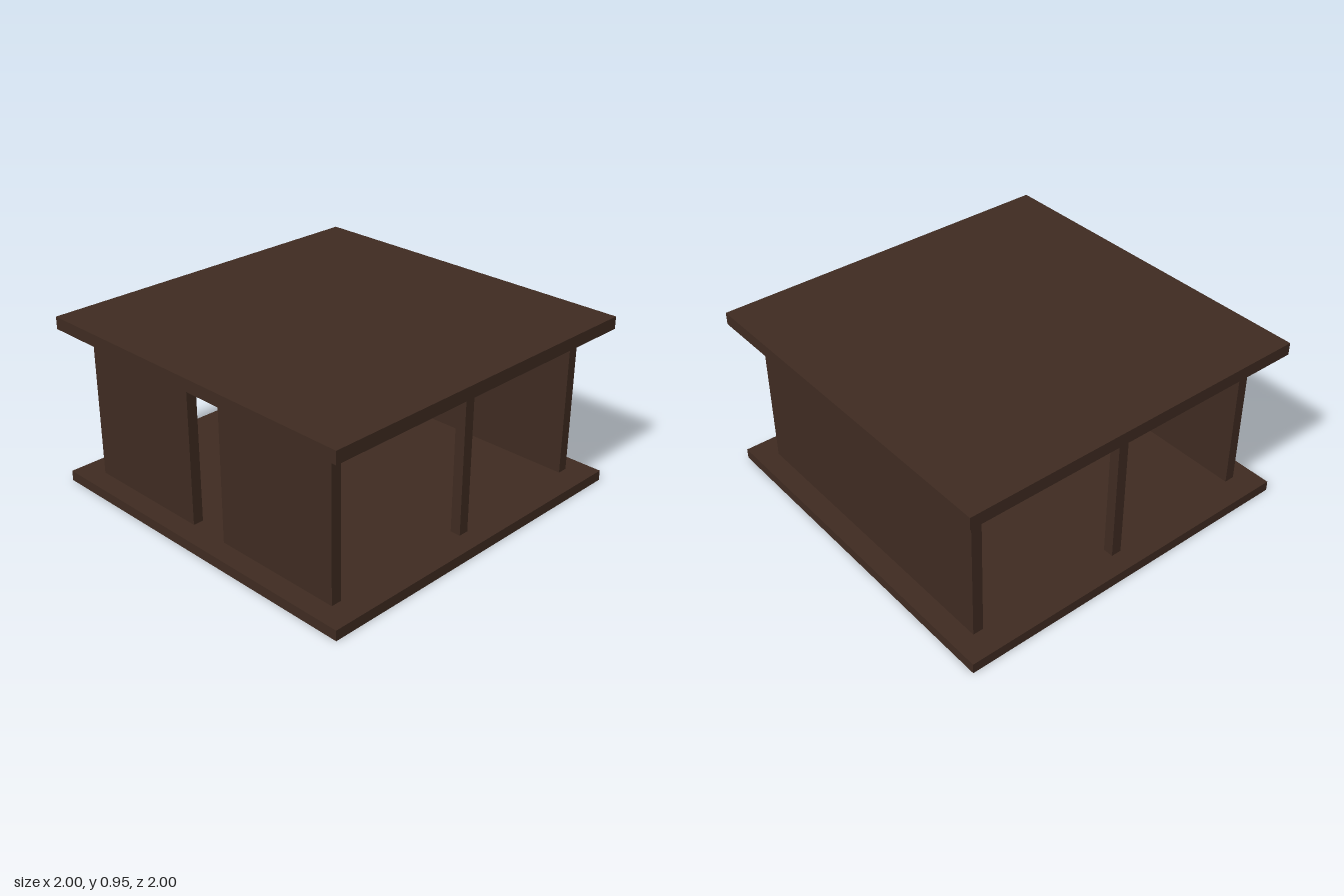
import * as THREE from 'three';

export function createModel() {
  const model = new THREE.Group();
  const darkWood = new THREE.MeshStandardMaterial({ color: 0x3f2b21 });
  darkWood.name = 'dark wood';

  // Box given by its extents on each axis
  function board(name, [x0, x1], [y0, y1], [z0, z1]) {
    const mesh = new THREE.Mesh(new THREE.BoxGeometry(x1 - x0, y1 - y0, z1 - z0), darkWood);
    mesh.position.set((x0 + x1) / 2, (y0 + y1) / 2, (z0 + z1) / 2);
    mesh.name = name;
    model.add(mesh);
  }

  const wall = [0.057, 0.882]; // height range between the slabs

  // Floor and roof slabs
  board('floorSlab', [-1, 1], [0, 0.057], [-1, 1]);
  board('roofSlab', [-1, 1], [0.882, 0.95], [-1, 1]);

  // Full back wall
  board('backWall', [-0.858, 0.858], wall, [-0.886, -0.828]);

  // Two front walls with a doorway between them
  board('frontWallLeft', [0.114, 0.858], wall, [0.828, 0.886]);
  board('frontWallRight', [-0.858, -0.114], wall, [0.828, 0.886]);

  // One post in the middle of each open side
  board('sidePostLeft', [0.828, 0.886], wall, [-0.029, 0.029]);
  board('sidePostRight', [-0.886, -0.828], wall, [-0.029, 0.029]);

  return model;
}
